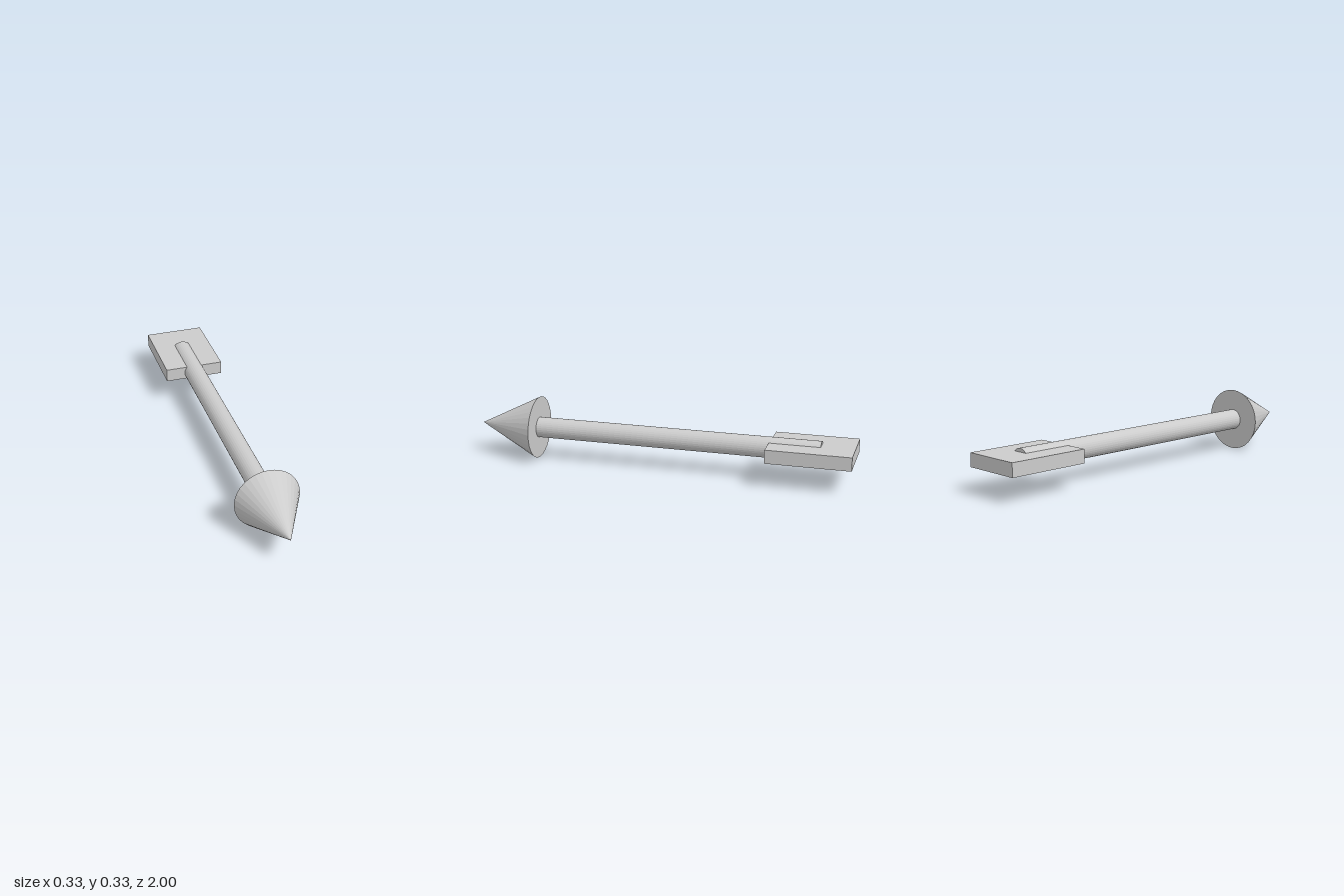
import * as THREE from 'three';

const AXIS_Y = 0.164; // height of the arrow's long axis
const SIDES = 32;

export function createModel() {
  const group = new THREE.Group();
  const material = new THREE.MeshStandardMaterial({ color: 0xcccccc, flatShading: true });

  // Adds a part centred on the long axis, spanning zBack to zFront
  const add = (name, geometry, zBack, zFront) => {
    const mesh = new THREE.Mesh(geometry, material);
    mesh.name = name;
    mesh.position.set(0, AXIS_Y, (zBack + zFront) / 2);
    group.add(mesh);
  };

  // Pointed head, tip towards the front
  add('arrowHead', new THREE.ConeGeometry(0.164, 0.325, SIDES).rotateX(Math.PI / 2), 0.675, 1);

  // Round shaft, running into the head and the tail block
  add('shaft', new THREE.CylinderGeometry(0.054, 0.054, 1.505, SIDES).rotateX(Math.PI / 2), -0.83, 0.675);

  // Flat tail block
  add('tailBlock', new THREE.BoxGeometry(0.314, 0.07, 0.43), -1, -0.57);

  return group;
}
